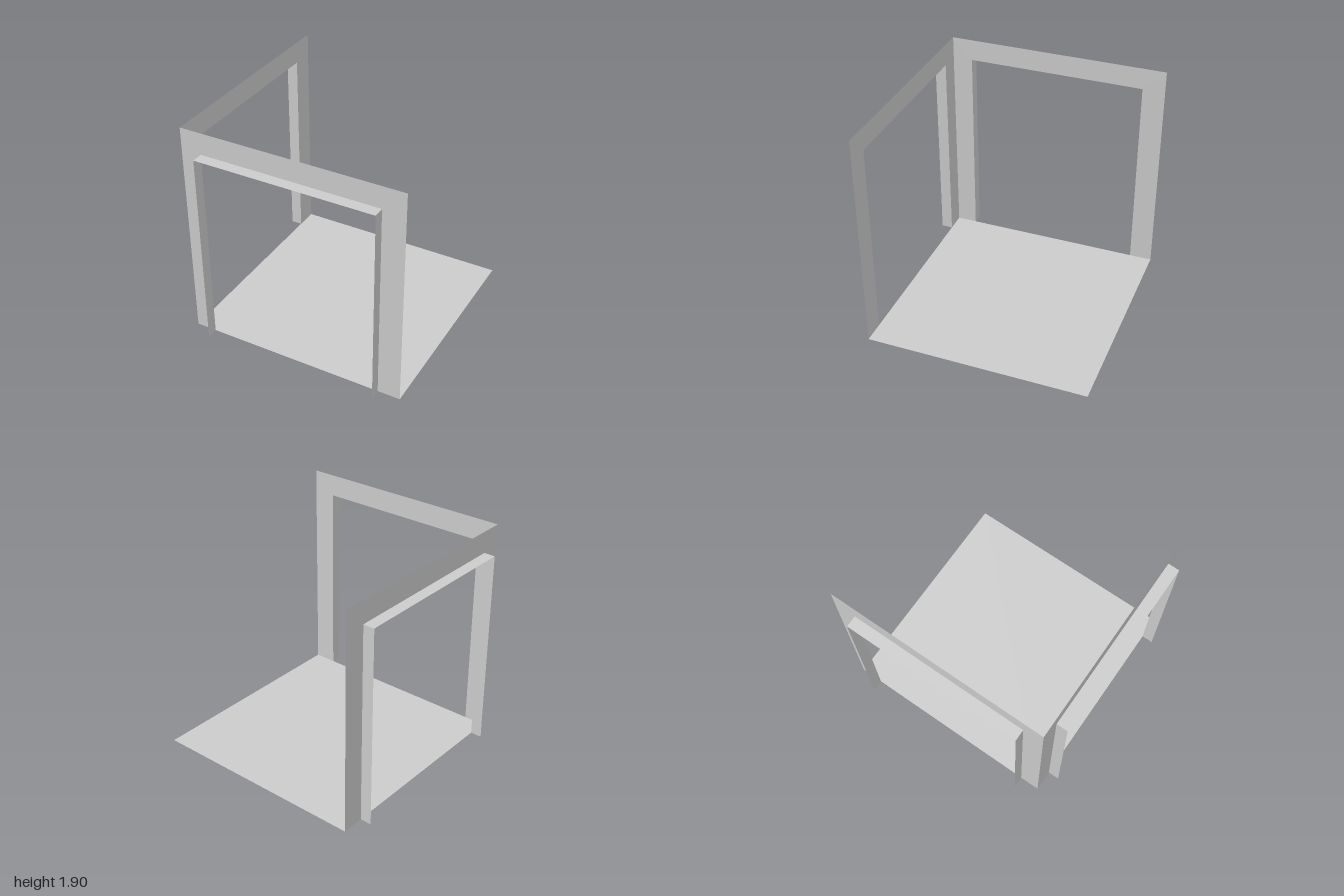
import * as THREE from 'three';

const EDGE = 0.903;    // distance of each wall plane from the centre
const HEIGHT = 1.904;  // wall height
const HEAD = 1.716;    // top of the openings
const LIP = 1 - EDGE;  // how far the opening lining stands out

const material = new THREE.MeshStandardMaterial({ color: 0xcccccc, side: THREE.DoubleSide });

function sheet(name, geometry) {
  const mesh = new THREE.Mesh(geometry, material);
  mesh.name = name;
  return mesh;
}

// Portal-shaped wall facing +z, with a thin lining projecting around its opening
function createWall(name, x0, x1, open0, open1) {
  const wall = new THREE.Group();
  wall.name = name;

  const outline = new THREE.Shape([
    [x0, 0], [open0, 0], [open0, HEAD], [open1, HEAD],
    [open1, 0], [x1, 0], [x1, HEIGHT], [x0, HEIGHT],
  ].map(([x, y]) => new THREE.Vector2(x, y)));
  const panel = sheet('wallPanel', new THREE.ShapeGeometry(outline));
  panel.position.z = EDGE;
  wall.add(panel);

  // Upright linings, facing away from the opening
  for (const [x, side] of [[open0, -1], [open1, 1]]) {
    const jamb = sheet('jambLining', new THREE.PlaneGeometry(LIP, HEAD));
    jamb.rotation.y = side * Math.PI / 2;
    jamb.position.set(x, HEAD / 2, EDGE + LIP / 2);
    wall.add(jamb);
  }

  // Lining across the head of the opening
  const head = sheet('headLining', new THREE.PlaneGeometry(open1 - open0, LIP));
  head.rotation.x = -Math.PI / 2;
  head.position.set((open0 + open1) / 2, HEAD, EDGE + LIP / 2);
  wall.add(head);
  return wall;
}

export function createModel() {
  const model = new THREE.Group();
  model.name = 'cornerRoom';

  // Floor sheet
  const size = 1 + EDGE;
  const floor = sheet('floor', new THREE.PlaneGeometry(size, size));
  floor.rotation.x = -Math.PI / 2;
  floor.position.set((1 - EDGE) / 2, 0, (EDGE - 1) / 2);
  model.add(floor);

  // Two walls meeting at the front corner
  model.add(createWall('frontWall', -EDGE, 1, -0.727, 0.807));
  const sideWall = createWall('sideWall', -1, EDGE, -0.807, 0.73);
  sideWall.rotation.y = -Math.PI / 2;
  model.add(sideWall);

  return model;
}
